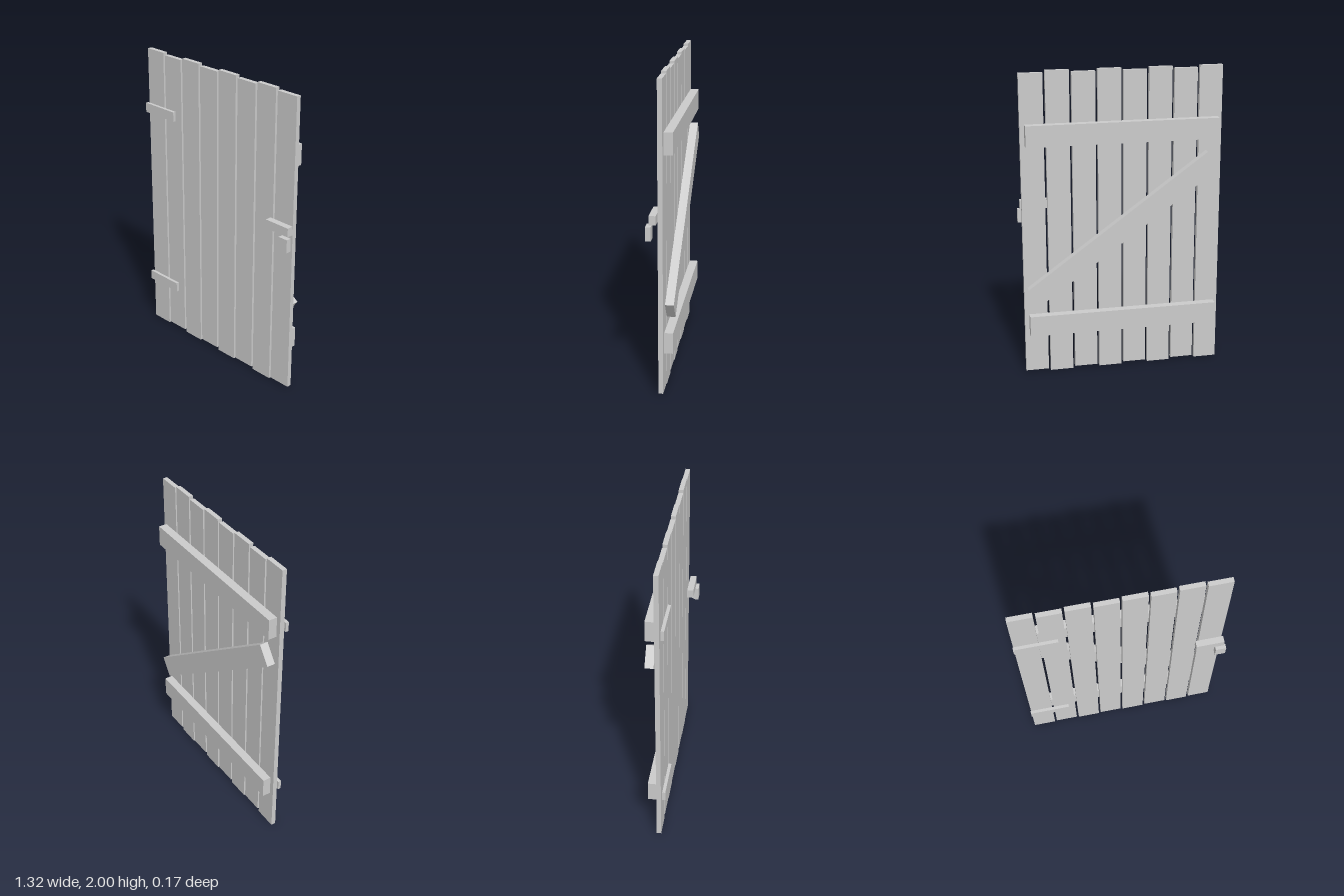
import * as THREE from 'three';

const material = new THREE.MeshStandardMaterial({ color: 0xcccccc, flatShading: true });

// Box given by its lower and upper limits on each axis
function block(name, [x0, x1], [y0, y1], [z0, z1]) {
  const mesh = new THREE.Mesh(new THREE.BoxGeometry(x1 - x0, y1 - y0, z1 - z0), material);
  mesh.name = name;
  mesh.position.set((x0 + x1) / 2, (y0 + y1) / 2, (z0 + z1) / 2);
  return mesh;
}

export function createModel() {
  const door = new THREE.Group();
  door.name = 'plankDoor';

  // Eight upright planks, every second one slightly shorter
  const planks = new THREE.Group();
  planks.name = 'planks';
  for (let i = 0; i < 8; i++) {
    const x = -0.583 + i * 0.1642;
    const inset = i % 2 ? 0.013 : 0;
    planks.add(block('plank', [x - 0.075, x + 0.075], [inset, 2 - inset], [-0.02, 0.01]));
  }
  door.add(planks);

  // Horizontal rails on the back, each with a hinge strap on the front
  for (const [level, y] of [['lower', 0.345], ['upper', 1.603]]) {
    door.add(block(level + 'Rail', [-0.63, 0.613], [y - 0.068, y + 0.068], [-0.078, -0.023]));
    door.add(block(level + 'Hinge', [-0.661, -0.391], [y - 0.032, y + 0.032], [0.019, 0.039]));
  }

  // Diagonal brace between the rails
  const brace = block('brace', [-0.734, 0.718], [0.904, 1.041], [-0.083, -0.029]);
  brace.rotation.z = -Math.PI / 5;
  door.add(brace);

  // Latch bar and catch at the opening edge
  door.add(block('latchBar', [0.467, 0.648], [1.116, 1.174], [0.02, 0.062]));
  door.add(block('latchCatch', [0.593, 0.661], [1.02, 1.108], [0.048, 0.082]));

  return door;
}
